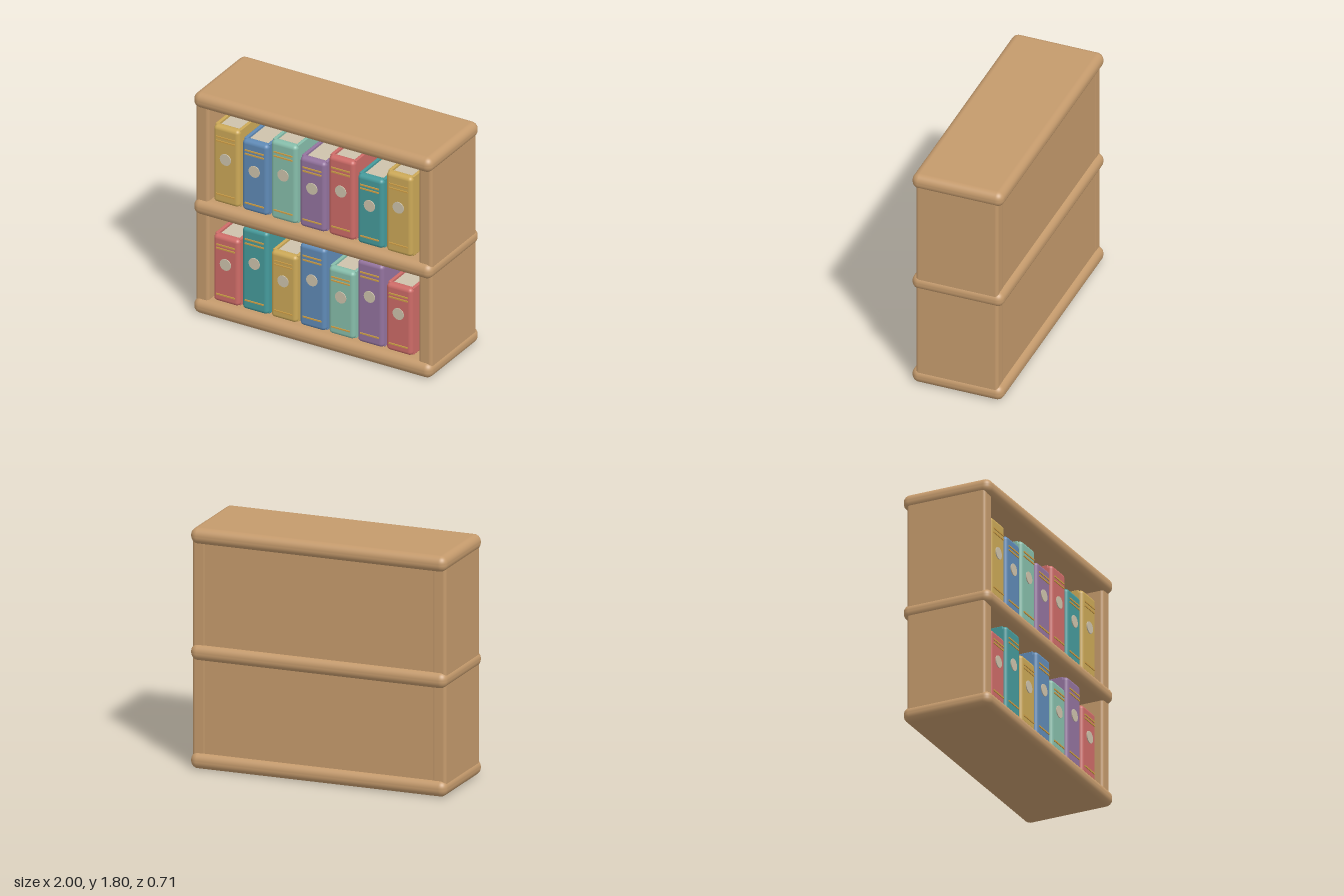
import * as THREE from 'three';
import { RoundedBoxGeometry } from 'three/addons/geometries/RoundedBoxGeometry.js';

const COLORS = {
  wood: 0xc49a6c, red: 0xcd6b67, teal: 0x459a9b, yellow: 0xcba857, blue: 0x5f8ab6,
  mint: 0x86bdaa, purple: 0x93739e, cream: 0xcdc2ab, gold: 0xcfa048,
};

export function createModel() {
  const model = new THREE.Group();
  model.name = 'bookcase';

  const mats = {};
  for (const [name, color] of Object.entries(COLORS)) {
    mats[name] = new THREE.MeshStandardMaterial({ color });
    mats[name].name = name;
  }

  const add = (parent, name, geometry, color, x, y, z) => {
    const mesh = new THREE.Mesh(geometry, mats[color]);
    mesh.name = name;
    mesh.position.set(x, y, z);
    parent.add(mesh);
    return mesh;
  };
  const rounded = (w, h, d, r) => new RoundedBoxGeometry(w, h, d, 5, r);

  // Three thick shelves with fully rounded rims
  const shelfY = { bottomShelf: 0.061, middleShelf: 0.872, topShelf: 1.745 };
  for (const [name, y] of Object.entries(shelfY)) {
    add(model, name, rounded(2, 0.12, 0.71, 0.055), 'wood', 0, y, 0);
  }

  // Side panels and back
  for (const side of [-1, 1]) {
    add(model, side > 0 ? 'leftPanel' : 'rightPanel',
      rounded(0.11, 1.68, 0.638, 0.025), 'wood', side * 0.935, 0.903, 0);
  }
  add(model, 'backPanel', new THREE.BoxGeometry(1.86, 1.66, 0.04), 'wood', 0, 0.903, -0.297);

  // A book standing on y = 0, spine towards +z
  const width = 0.216, front = 0.3, back = -0.2, spineDepth = 0.07;
  function makeBook(height, color) {
    const book = new THREE.Group();
    book.name = color + 'Book';
    add(book, 'spine', rounded(width, height, spineDepth, 0.03), color,
      0, height / 2, front - spineDepth / 2);

    // Hard covers on both sides of the page block
    const coverDepth = front - 0.035 - back;
    for (const side of [-1, 1]) {
      add(book, 'cover', rounded(0.024, height, coverDepth, 0.005), color,
        side * (width / 2 - 0.012), height / 2, back + coverDepth / 2);
    }
    const pageDepth = front - 0.04 - back - 0.02;
    add(book, 'pages', new THREE.BoxGeometry(width - 0.04, height - 0.04, pageDepth), 'cream',
      0, height / 2, back + 0.02 + pageDepth / 2);

    // Gilt bands and round medallion on the spine
    for (const f of [0.867, 0.815, 0.12]) {
      add(book, 'spineBand', new THREE.BoxGeometry(0.156, 0.011, 0.009), 'gold',
        0, height * f, front + 0.002);
    }
    const disc = add(book, 'medallion', new THREE.CylinderGeometry(0.046, 0.046, 0.009, 28),
      'cream', 0, height * 0.593, front + 0.002);
    disc.rotation.x = Math.PI / 2;
    return book;
  }

  // Two rows of seven books
  const rows = [
    { name: 'lowerBooks', y: 0.122, books: [[0.543, 'red'], [0.67, 'teal'], [0.543, 'yellow'],
      [0.67, 'blue'], [0.547, 'mint'], [0.67, 'purple'], [0.547, 'red']] },
    { name: 'upperBooks', y: 0.932, books: [[0.628, 'yellow'], [0.577, 'blue'], [0.638, 'mint'],
      [0.57, 'purple'], [0.646, 'red'], [0.562, 'teal'], [0.65, 'yellow']] },
  ];
  for (const { name, y, books } of rows) {
    const row = new THREE.Group();
    row.name = name;
    row.position.y = y;
    books.forEach(([height, color], i) => {
      const book = makeBook(height, color);
      book.position.x = -0.746 + i * 0.2415;
      row.add(book);
    });
    model.add(row);
  }
  return model;
}
